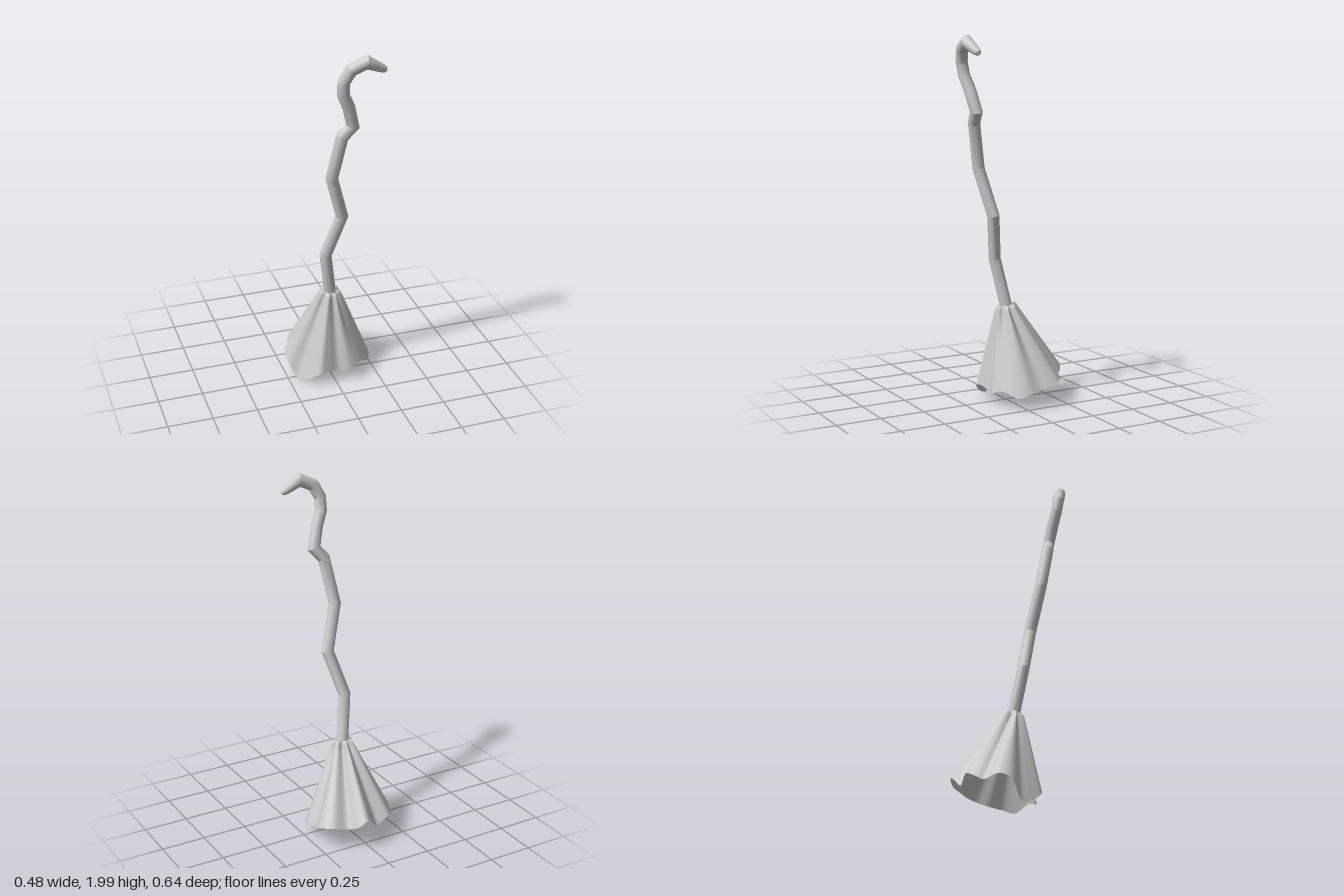
import * as THREE from 'three';
import { toCreasedNormals } from 'three/addons/utils/BufferGeometryUtils.js';

const V = (x, y, z) => new THREE.Vector3(x, y, z);

// Joins equal-sized closed rings of points into one surface.
function loft(rings) {
  const n = rings[0].length, index = [];
  for (let i = 0; i < rings.length - 1; i++) {
    for (let j = 0; j < n; j++) {
      const a = i * n + j, b = i * n + (j + 1) % n;
      index.push(a, a + n, b, b, a + n, b + n);
    }
  }
  const geometry = new THREE.BufferGeometry().setFromPoints(rings.flat());
  geometry.setIndex(index);
  geometry.computeVertexNormals();
  return geometry;
}

// Crooked handle: a round section swept along straight pieces with mitred joints.
function handleGeometry() {
  const path = [ // x, y, z, radius
    [0.006, 0.5, -0.007, 0.033], [-0.04, 0.79, 0.047, 0.033], [0.037, 1.04, 0.097, 0.033],
    [-0.037, 1.29, 0.146, 0.033], [0.003, 1.54, 0.194, 0.033], [0.055, 1.6, 0.207, 0.033],
    [0.026, 1.71, 0.228, 0.033], [-0.01, 1.79, 0.245, 0.032], [-0.012, 1.86, 0.258, 0.032],
    [0.022, 1.926, 0.272, 0.033], [0.1, 1.962, 0.284, 0.034], [0.185, 1.917, 0.273, 0.022],
    [0.203, 1.908, 0.271, 0.016], [0.212, 1.903, 0.27, 0.003],
  ];
  const points = path.map(([x, y, z]) => V(x, y, z));
  const direction = i => points[i + 1].clone().sub(points[i]).normalize();
  const sides = 20, last = points.length - 1;
  const first = direction(0);
  const u = V(1, 0, 0).cross(first).normalize(), v = first.clone().cross(u);
  let ring = [];
  for (let j = 0; j < sides; j++) {
    const a = j / sides * Math.PI * 2;
    ring.push(points[0].clone().addScaledVector(u, Math.cos(a) * path[0][3])
      .addScaledVector(v, Math.sin(a) * path[0][3]));
  }
  const rings = [ring];
  for (let i = 1; i <= last; i++) {
    const d = direction(i - 1);
    const normal = i < last ? d.clone().add(direction(i)).normalize() : d;
    const scale = path[i][3] / path[i - 1][3];
    ring = ring.map(p => {
      const t = points[i].clone().sub(p).dot(normal) / d.dot(normal);
      return p.clone().addScaledVector(d, t).sub(points[i]).multiplyScalar(scale).add(points[i]);
    });
    rings.push(ring);
  }
  return toCreasedNormals(loft(rings), 0.44);
}

// Fluted skirt: straight folds running from a tight collar to a wavy hem.
function skirtGeometry() {
  const hem = [ // x, y, z, collar radius
    [0.24, 0.085, -0.02, 0.066], [0.22, 0.065, 0.04, 0.055], [0.15, 0.098, 0.1, 0.042],
    [0.08, 0.075, 0.132, 0.06], [0.015, 0.066, 0.112, 0.042], [-0.05, 0.088, 0.125, 0.052],
    [-0.1, 0.08, 0.132, 0.06], [-0.16, 0.02, 0.07, 0.048], [-0.2, 0.008, 0.008, 0.04],
    [-0.235, 0.08, -0.03, 0.055], [-0.243, 0.12, -0.07, 0.063], [-0.235, 0.128, -0.12, 0.055],
    [-0.202, 0.105, -0.18, 0.04], [-0.188, 0.125, -0.22, 0.05], [-0.145, 0.15, -0.263, 0.064],
    [-0.06, 0.113, -0.28, 0.042], [-0.02, 0.15, -0.305, 0.054], [0.03, 0.18, -0.322, 0.067],
    [0.07, 0.15, -0.308, 0.055], [0.11, 0.122, -0.253, 0.038], [0.19, 0.14, -0.237, 0.06],
    [0.23, 0.135, -0.2, 0.064], [0.24, 0.122, -0.16, 0.055], [0.23, 0.1, -0.1, 0.04],
  ];
  const count = 144;
  const curve = new THREE.CatmullRomCurve3(hem.map(([x, y, z]) => V(x, y, z)), true);
  const radii = new THREE.CatmullRomCurve3(hem.map(h => V(h[3], 0, 0)), true);
  const edge = [], collar = [], lip = [], neck = [];
  for (let j = 0; j < count; j++) {
    const p = curve.getPoint(j / count), r = radii.getPoint(j / count).x;
    const a = Math.atan2(p.z + 0.09, p.x);
    const around = (radius, y) => {
      const z = Math.sin(a) * radius;
      return V(Math.cos(a) * radius, y - 0.15 * z, z);
    };
    edge.push(p);
    collar.push(around(r, 0.52));
    lip.push(around(r * 0.8 + 0.003, 0.541));
    neck.push(around(0.027, 0.537));
  }
  const rings = [neck, lip, collar], steps = 14;
  for (let i = 1; i <= steps; i++) {
    const t = i / steps;
    rings.push(collar.map((c, j) => c.clone().lerp(edge[j], t)));
  }
  return loft(rings);
}

export function createModel() {
  const model = new THREE.Group();
  model.name = 'crookedBroom';
  const add = (name, geometry) => {
    const mesh = new THREE.Mesh(geometry,
      new THREE.MeshStandardMaterial({ color: 0xcccccc, side: THREE.DoubleSide }));
    mesh.name = name;
    model.add(mesh);
  };
  add('handle', handleGeometry());
  add('skirt', skirtGeometry());
  return model;
}
